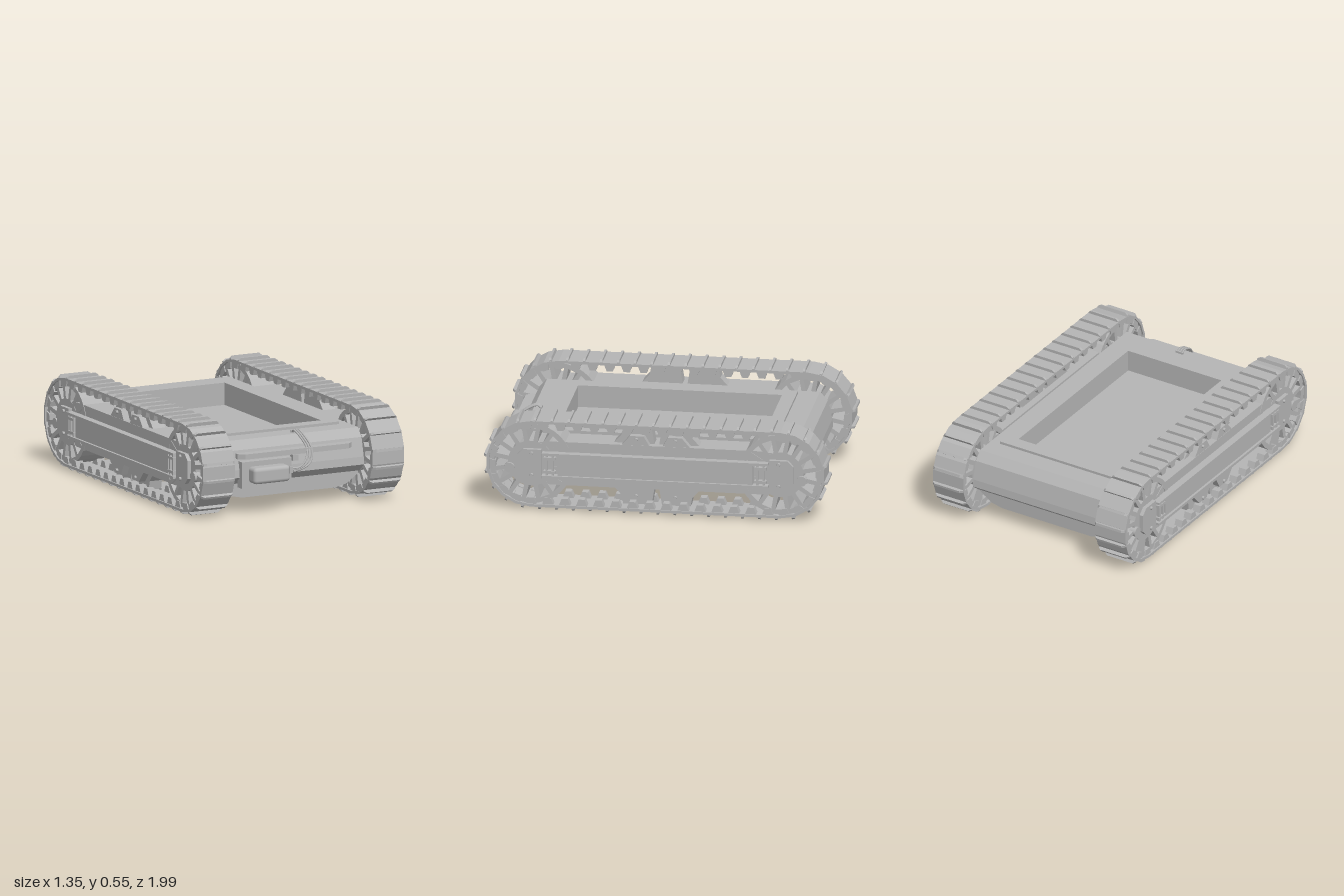
import * as THREE from 'three';
import { RoundedBoxGeometry } from 'three/addons/geometries/RoundedBoxGeometry.js';

const AXLE_Z = 0.722, AXLE_Y = 0.275;

export function createModel() {
  const grey = new THREE.MeshStandardMaterial({ color: 0xb4b4b4, flatShading: true });
  const smoothGrey = grey.clone();
  smoothGrey.flatShading = false;
  grey.name = 'grey';
  smoothGrey.name = 'smooth grey';
  const model = new THREE.Group();
  model.name = 'trackedRobotBase';

  function add(parent, name, geometry, material = grey) {
    const mesh = new THREE.Mesh(geometry, material);
    mesh.name = name;
    parent.add(mesh);
    return mesh;
  }
  // Box given by its limits on each axis
  function block(parent, name, [x0, x1], [y0, y1], [z0, z1]) {
    const mesh = add(parent, name, new THREE.BoxGeometry(x1 - x0, y1 - y0, z1 - z0));
    mesh.position.set((x0 + x1) / 2, (y0 + y1) / 2, (z0 + z1) / 2);
    return mesh;
  }
  const points = list => list.map(([a, b]) => new THREE.Vector2(a, b));
  // Side outline of [z, y] points, extruded from x0 to x1
  function sideExtrude(outline, x0, x1, holes = []) {
    const shape = new THREE.Shape(points(outline));
    holes.forEach(h => shape.holes.push(new THREE.Path(points(h))));
    const g = new THREE.ExtrudeGeometry(shape, { depth: x1 - x0, bevelEnabled: false });
    return g.rotateY(-Math.PI / 2).translate(x1, 0, 0);
  }
  const mirrorZ = list => list.map(([z, y]) => [-z, y]);

  // ---- Hull: shaped ends, side walls and floor around an open bay ----
  const endOutline = [[0.59, 0.17], [0.81, 0.17], [0.866, 0.215], [0.862, 0.26],
    [0.835, 0.37], [0.79, 0.42], [0.59, 0.42]];
  add(model, 'hullFront', sideExtrude(endOutline, -0.45, 0.45));
  add(model, 'hullBack', sideExtrude(mirrorZ(endOutline), -0.45, 0.45));
  for (const s of [-1, 1]) {
    block(model, 'hullSide', s < 0 ? [-0.45, -0.315] : [0.315, 0.45], [0.17, 0.42], [-0.59, 0.59]);
    block(model, 'deckRimSide', s < 0 ? [-0.39, -0.315] : [0.315, 0.39], [0.415, 0.435], [-0.67, 0.67]);
    block(model, 'deckRimEnd', [-0.315, 0.315], [0.415, 0.435], s < 0 ? [-0.67, -0.59] : [0.59, 0.67]);
  }
  block(model, 'bayFloor', [-0.315, 0.315], [0.17, 0.305], [-0.59, 0.59]);

  // Belly pan with chamfered lower corners
  const half = [[0.45, 0.175], [0.45, 0.15], [0.425, 0.13], [0.37, 0.095], [0.3, 0.08]];
  const pan = new THREE.Shape(points([...half, ...half.slice().reverse().map(([x, y]) => [-x, y])]));
  add(model, 'bellyPan', new THREE.ExtrudeGeometry(pan, { depth: 1.58, bevelEnabled: false }).translate(0, 0, -0.79));

  // ---- Front equipment ----
  const bar = new THREE.Shape(points([[-0.37, -0.83], [0.37, -0.83], [0.37, -0.865], [0.335, -0.897], [-0.335, -0.897], [-0.37, -0.865]]));
  add(model, 'frontBar', new THREE.ExtrudeGeometry(bar, { depth: 0.03, bevelEnabled: false })
    .rotateX(-Math.PI / 2).translate(0, 0.325, 0));
  block(model, 'frontSocket', [-0.02, 0.015], [0.285, 0.32], [0.84, 0.885]);
  block(model, 'lampPlate', [-0.355, -0.035], [0.155, 0.31], [0.84, 0.895]);
  add(model, 'lampBox', new RoundedBoxGeometry(0.235, 0.095, 0.1, 3, 0.022), smoothGrey)
    .position.set(-0.193, 0.233, 0.915);
  for (let i = 0; i < 3; i++) {
    const d = (i - 1) * 0.015;
    const path = new THREE.CatmullRomCurve3([
      [0.065 + d, 0.42, 0.745], [0.062 + d, 0.437, 0.765], [0.07 + d, 0.405, 0.84],
      [0.082 + d, 0.35, 0.89], [0.06 + d, 0.28 - d / 2, 0.915],
      [0.01, 0.245 - d / 2, 0.915], [-0.045, 0.238 - d / 2, 0.9],
    ].map(p => new THREE.Vector3(...p)));
    add(model, 'cable', new THREE.TubeGeometry(path, 32, 0.006, 8), smoothGrey);
  }
  block(model, 'cableGland', [-0.055, -0.035], [0.22, 0.26], [0.86, 0.912]);
  block(model, 'cableClip', [0.04, 0.09], [0.415, 0.432], [0.74, 0.752]);

  // ---- Track units ----
  function stadium(r, n = 9) {
    const out = [];
    for (const s of [1, -1])
      for (let i = 0; i <= n; i++) {
        const a = -Math.PI / 2 + i / n * Math.PI;
        out.push([s * (AXLE_Z + r * Math.cos(a)), AXLE_Y + s * r * Math.sin(a)]);
      }
    return out;
  }
  // Point and outward angle at a distance along the belt
  function along(d, r) {
    const straight = 2 * AXLE_Z, arc = Math.PI * r, halfLength = straight + arc;
    const s = d < halfLength ? 1 : -1;
    d %= halfLength;
    if (d < straight) return { z: s * (AXLE_Z - d), y: AXLE_Y + s * r, a: s * Math.PI / 2 };
    const a = s * Math.PI / 2 + (d - straight) / r;
    return { z: -s * AXLE_Z + r * Math.cos(a), y: AXLE_Y + r * Math.sin(a), a };
  }

  function trackUnit() {
    const unit = new THREE.Group();
    unit.name = 'trackUnit';
    add(unit, 'trackBelt', sideExtrude(stadium(0.258), 0.445, 0.65, [stadium(0.243)]));

    // Chamfered cleats outside the belt and two rows of teeth inside it
    const cleatShape = new THREE.Shape(points([[0.447, -0.008], [0.648, -0.008], [0.648, 0.006],
      [0.632, 0.018], [0.463, 0.018], [0.447, 0.006]]));
    const cleat = new THREE.ExtrudeGeometry(cleatShape, { depth: 0.014, bevelEnabled: false }).translate(0, 0, -0.007);
    const toothOutline = [[-0.034, -0.01], [-0.018, -0.052], [0.018, -0.052], [0.034, -0.01]];
    const teeth = [[0.455, 0.505], [0.595, 0.642]].map(([a, b]) => sideExtrude(toothOutline, a, b));
    const links = 46, length = 4 * AXLE_Z + 2 * Math.PI * 0.257;
    for (let i = 0; i < links; i++) {
      const place = (mesh, t) => {
        const p = along(((i + t) / links) * length, 0.257);
        mesh.position.set(0, p.y, p.z);
        mesh.rotation.x = Math.PI / 2 - p.a;
      };
      place(add(unit, 'trackCleat', cleat), 0.25);
      teeth.forEach(g => place(add(unit, 'trackTooth', g), 0.75));
    }

    // Spoked wheels with tapered windows
    const ring = (r, n) => Array.from({ length: n }, (_, i) =>
      [r * Math.cos(i / n * 2 * Math.PI), r * Math.sin(i / n * 2 * Math.PI)]);
    const windows = Array.from({ length: 16 }, (_, i) => {
      const a = i / 16 * 2 * Math.PI;
      return [[0.135, -0.1], [0.212, -0.14], [0.212, 0.14], [0.135, 0.1]]
        .map(([r, t]) => [r * Math.cos(a + t), r * Math.sin(a + t)]);
    });
    const wheel = sideExtrude(ring(0.24, 32), 0.46, 0.635, windows);
    for (const s of [-1, 1]) {
      add(unit, 'trackWheel', wheel).position.set(0, AXLE_Y, s * AXLE_Z);
      // End cap with bolts
      const cap = [[0.66, 0.19], [0.765, 0.19], [0.8, 0.225], [0.8, 0.33], [0.765, 0.365], [0.66, 0.365]];
      add(unit, 'endCap', sideExtrude(s > 0 ? cap : mirrorZ(cap), 0.62, 0.658));
      for (const y of [0.212, 0.343]) bolt(unit, 0.66, y, s * 0.715);
      // Axle boss
      const boss = add(unit, 'axleBoss', new THREE.CylinderGeometry(0.03, 0.03, 0.04, 16).rotateZ(Math.PI / 2), smoothGrey);
      boss.position.set(0.63, 0.245, s * 0.845);
      // Tension bracket
      const z = s * 0.61;
      for (const y of [0.235, 0.315]) block(unit, 'tensionBracket', [0.64, 0.67], [y - 0.008, y + 0.008], [z - 0.035, z + 0.035]);
      for (const o of [-0.018, 0.018]) block(unit, 'tensionRod', [0.645, 0.666], [0.215, 0.34], [z + o - 0.006, z + o + 0.006]);
      // Belt guides above and below the frame
      for (const v of [-1, 1]) {
        const guide = [[0.01, 0.11], [0.03, 0.232], [0.195, 0.232], [0.205, 0.18], [0.26, 0.12]]
          .map(([gz, gy]) => [s * gz, AXLE_Y + v * gy]);
        add(unit, 'beltGuide', sideExtrude(guide, 0.51, 0.59));
        const cover = [[0.03, 0.12], [0.07, 0.19], [0.15, 0.19], [0.21, 0.12]]
          .map(([gz, gy]) => [s * gz, AXLE_Y + v * gy]);
        add(unit, 'guideCover', sideExtrude(cover, 0.585, 0.63));
        bolt(unit, 0.632, AXLE_Y + v * 0.17, s * 0.113);
      }
    }

    // Frame between the wheels, with an outer boom and rails
    const frame = [[0.79, 0.22], [0.74, 0.16], [0.6, 0.15], [-0.6, 0.15], [-0.74, 0.16], [-0.79, 0.22],
      [-0.79, 0.34], [-0.74, 0.395], [-0.6, 0.41], [0.6, 0.41], [0.74, 0.395], [0.79, 0.34]];
    add(unit, 'trackFrame', sideExtrude(frame, 0.47, 0.632));
    block(unit, 'outerBoom', [0.62, 0.662], [0.21, 0.345], [-0.565, 0.565]);
    for (const y of [0.208, 0.343])
      block(unit, 'boomRail', [0.62, 0.676], [y - 0.007, y + 0.007], [-0.655, 0.655]);
    block(unit, 'frameMount', [0.44, 0.48], [0.19, 0.36], [-0.6, 0.6]);
    return unit;
  }
  function bolt(parent, x, y, z) {
    add(parent, 'bolt', new THREE.CylinderGeometry(0.009, 0.012, 0.02, 10).rotateZ(-Math.PI / 2), smoothGrey)
      .position.set(x, y, z);
  }

  const left = trackUnit();
  left.name = 'leftTrack';
  const right = trackUnit();
  right.name = 'rightTrack';
  right.rotation.y = Math.PI;
  model.add(left, right);
  return model;
}
